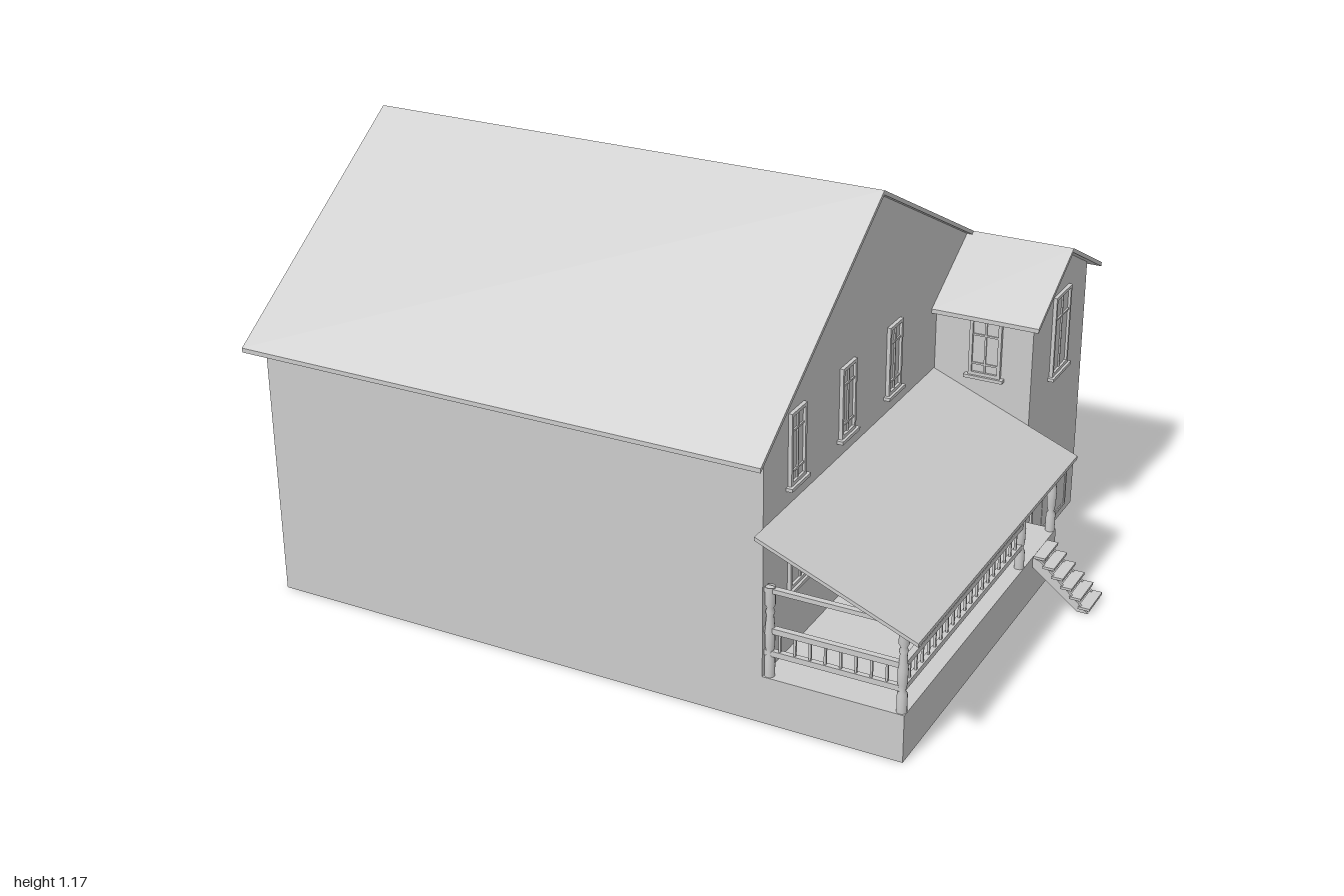
import * as THREE from 'three';

const mat = new THREE.MeshStandardMaterial({ color: 0xcccccc, side: THREE.DoubleSide });

// Key planes: west wall, gable wall, wing wall, porch edge, front and back walls, wing front
const WEST = -0.96, GABLE = 0.465, WING = 0.74, PORCH = 0.835;
const FRONT = 0.72, BACK = -0.72, WINGZ = -0.31, DECK = 0.13;
const roofY = z => 1.17 - (z > 0.1 ? 0.69 * (z - 0.1) : 0.506 * (0.1 - z));
const wallTop = z => roofY(z) - 0.012;

function add(parent, name, geometry) {
  const mesh = new THREE.Mesh(geometry, mat);
  mesh.name = name;
  parent.add(mesh);
  return mesh;
}

// Box given by its min and max corners
function box(parent, name, x0, x1, y0, y1, z0, z1) {
  const m = add(parent, name, new THREE.BoxGeometry(x1 - x0, y1 - y0, z1 - z0));
  m.position.set((x0 + x1) / 2, (y0 + y1) / 2, (z0 + z1) / 2);
  return m;
}

const shapeOf = pts => new THREE.Shape(pts.map(p => new THREE.Vector2(...p)));

// Thin wall in a plane of constant x, outline in (z, y)
function wallX(parent, name, x, pts) {
  add(parent, name, new THREE.ShapeGeometry(shapeOf(pts)).rotateY(-Math.PI / 2).translate(x, 0, 0));
}

// Thin wall in a plane of constant z
function wallZ(parent, name, z, x0, x1, top) {
  add(parent, name, new THREE.PlaneGeometry(x1 - x0, top).translate((x0 + x1) / 2, top / 2, z));
}

// Roof slab from x0 to x1 whose upper line is given in (z, y)
function roofSlab(parent, name, x0, x1, line, t = 0.012) {
  const under = line.map(([z, y]) => [z, y - t]).reverse();
  const g = new THREE.ExtrudeGeometry(shapeOf([...line, ...under]), { depth: x1 - x0, bevelEnabled: false });
  add(parent, name, g.rotateY(-Math.PI / 2).translate(x1, 0, 0));
}

// Framed window facing +z, origin at the middle of its lower edge; bars at fractions of width and height
function framed(name, w, h, vBars, hBars, sill = true, d = 0.01) {
  const g = new THREE.Group(), f = 0.009, b = 0.005;
  g.name = name;
  box(g, 'pane', -w / 2, w / 2, 0, h, 0, 0.003);
  for (const s of [-1, 1]) {
    const c = s * (w / 2 - f / 2);
    box(g, 'jamb', c - f / 2, c + f / 2, 0, h, 0, d);
  }
  box(g, 'head', -w / 2, w / 2, h - f, h, 0, d);
  box(g, 'bottomRail', -w / 2, w / 2, 0, f, 0, d);
  for (const v of vBars) box(g, 'mullion', (v - 0.5) * w - b / 2, (v - 0.5) * w + b / 2, f, h - f, 0, d * 0.7);
  for (const v of hBars) box(g, 'crossbar', f - w / 2, w / 2 - f, v * h - b / 2, v * h + b / 2, 0, d * 0.7);
  if (sill) box(g, 'sill', -w / 2 - 0.01, w / 2 + 0.01, -0.009, 0, 0, d + 0.007);
  return g;
}

function onEast(parent, part, x, y, z) {
  part.rotation.y = Math.PI / 2;
  part.position.set(x, y, z);
  parent.add(part);
}

function buildHouse() {
  const g = new THREE.Group();
  g.name = 'house';
  wallZ(g, 'frontWall', FRONT, WEST, GABLE, wallTop(FRONT));
  wallZ(g, 'backWall', BACK, WEST, WING, wallTop(BACK));
  wallZ(g, 'wingFrontWall', WINGZ, GABLE, WING, 0.722);
  wallX(g, 'westGable', WEST, [[FRONT, 0], [FRONT, wallTop(FRONT)], [0.1, wallTop(0.1)], [BACK, wallTop(BACK)], [BACK, 0]]);
  wallX(g, 'eastGable', GABLE, [[FRONT, 0], [FRONT, wallTop(FRONT)], [0.1, wallTop(0.1)],
    [-0.52, wallTop(-0.52)], [WINGZ, 0.722], [WINGZ, 0]]);
  wallX(g, 'wingGable', WING, [[WINGZ, 0], [WINGZ, 0.722], [-0.52, wallTop(-0.52)], [BACK, wallTop(BACK)], [BACK, 0]]);

  // Main roof, with the rear slope carried on over the wing
  roofSlab(g, 'mainRoof', -1, 0.48, [[0.765, roofY(0.765)], [0.1, 1.17], [-0.773, roofY(-0.773)]]);
  roofSlab(g, 'wingRoof', 0.465, 0.765, [[-0.275, 0.715], [-0.52, roofY(-0.52)], [-0.773, roofY(-0.773)]]);

  // Openings
  for (const z of [0.55, 0.265, -0.02]) onEast(g, framed('gableWindow', 0.082, 0.19, [0.5], [0.18, 0.74]), GABLE, 0.583, z);
  onEast(g, framed('porchWindow', 0.245, 0.17, [0.25, 0.5, 0.75], [0.7]), GABLE, 0.302, 0.465);
  onEast(g, framed('wingWindow', 0.12, 0.23, [0.5], [0.7]), WING, 0.502, -0.515);
  onEast(g, framed('basementWindow', 0.285, 0.122, [0.33, 0.67], [], false, 0.006), WING, 0.028, -0.508);
  const side = framed('wingFrontWindow', 0.09, 0.165, [0.5], [0.2, 0.7]);
  side.position.set(0.61, 0.538, WINGZ);
  g.add(side);

  // Door with an inner panel and a knob
  const door = framed('door', 0.125, 0.31, [], [], false, 0.012);
  box(door, 'doorPanel', -0.038, 0.038, 0.03, 0.275, 0, 0.007);
  add(door, 'knob', new THREE.SphereGeometry(0.005, 10, 8)).position.set(0.046, 0.15, 0.008);
  onEast(g, door, GABLE, DECK, -0.157);
  return g;
}

function post(parent, x, z, top) {
  const h = top - DECK;
  const profile = [[0.013, 0], [0.013, 0.22], [0.008, 0.25], [0.012, 0.33], [0.013, 0.5], [0.009, 0.68],
    [0.012, 0.72], [0.008, 0.76], [0.013, 0.8], [0.013, 1]].map(([r, t]) => new THREE.Vector2(r, t * h));
  add(parent, 'porchPost', new THREE.LatheGeometry(profile, 12)).position.set(x, DECK, z);
}

// Railing running along local +x
function railing(length, count) {
  const g = new THREE.Group();
  g.name = 'railing';
  box(g, 'topRail', 0, length, 0.25, 0.265, -0.008, 0.008);
  box(g, 'lowerRail', 0, length, 0.187, 0.202, -0.007, 0.007);
  for (let i = 1; i <= count; i++) {
    const x = length * i / (count + 1);
    box(g, 'baluster', x - 0.003, x + 0.003, 0.2, 0.252, -0.003, 0.003);
  }
  return g;
}

function buildPorch() {
  const g = new THREE.Group();
  g.name = 'porch';
  // Hollow base and deck
  wallZ(g, 'baseFront', FRONT, GABLE, PORCH, DECK);
  wallZ(g, 'baseBack', WINGZ, WING, PORCH, DECK);
  wallX(g, 'baseSide', PORCH, [[FRONT, 0], [FRONT, DECK], [WINGZ, DECK], [WINGZ, 0]]);
  box(g, 'deck', GABLE, PORCH, DECK - 0.004, DECK, WINGZ, FRONT);

  // Posts and beams
  const px = 0.822;
  for (const z of [0.705, -0.065, -0.298]) post(g, px, z, 0.36);
  post(g, 0.478, 0.705, 0.375);
  box(g, 'sideBeam', px - 0.01, px + 0.01, 0.352, 0.369, WINGZ, FRONT);
  box(g, 'frontBeam', GABLE, px, 0.36, 0.372, 0.697, 0.713);

  // Railings
  const front = railing(px - GABLE, 8);
  front.position.set(GABLE, 0, 0.705);
  const side = railing(0.77, 19);
  side.rotation.y = Math.PI / 2;
  side.position.set(px, 0, 0.705);
  g.add(front, side);

  // Lean-to roof
  const roof = shapeOf([[GABLE, 0.532], [0.882, 0.362], [0.882, 0.352], [GABLE, 0.522]]);
  add(g, 'porchRoof', new THREE.ExtrudeGeometry(roof, { depth: 1.073, bevelEnabled: false }).translate(0, 0, -0.307));
  return g;
}

function buildStairs() {
  const g = new THREE.Group();
  g.name = 'stairs';
  const stringer = shapeOf([[PORCH, 0.128], [0.855, 0.122], [0.995, 0], [0.965, 0], [PORCH, 0.1]]);
  for (const z of [-0.228, -0.142]) {
    add(g, 'stringer', new THREE.ExtrudeGeometry(stringer, { depth: 0.008, bevelEnabled: false }).translate(0, 0, z));
  }
  for (let i = 0; i < 6; i++) {
    const x = 0.838 + i * 0.026, y = 0.135 - i * 0.0235;
    box(g, 'tread', x, x + 0.032, y - 0.007, y, -0.232, -0.13);
  }
  return g;
}

export function createModel() {
  const model = new THREE.Group();
  model.name = 'farmhouse';
  model.add(buildHouse(), buildPorch(), buildStairs());
  return model;
}
